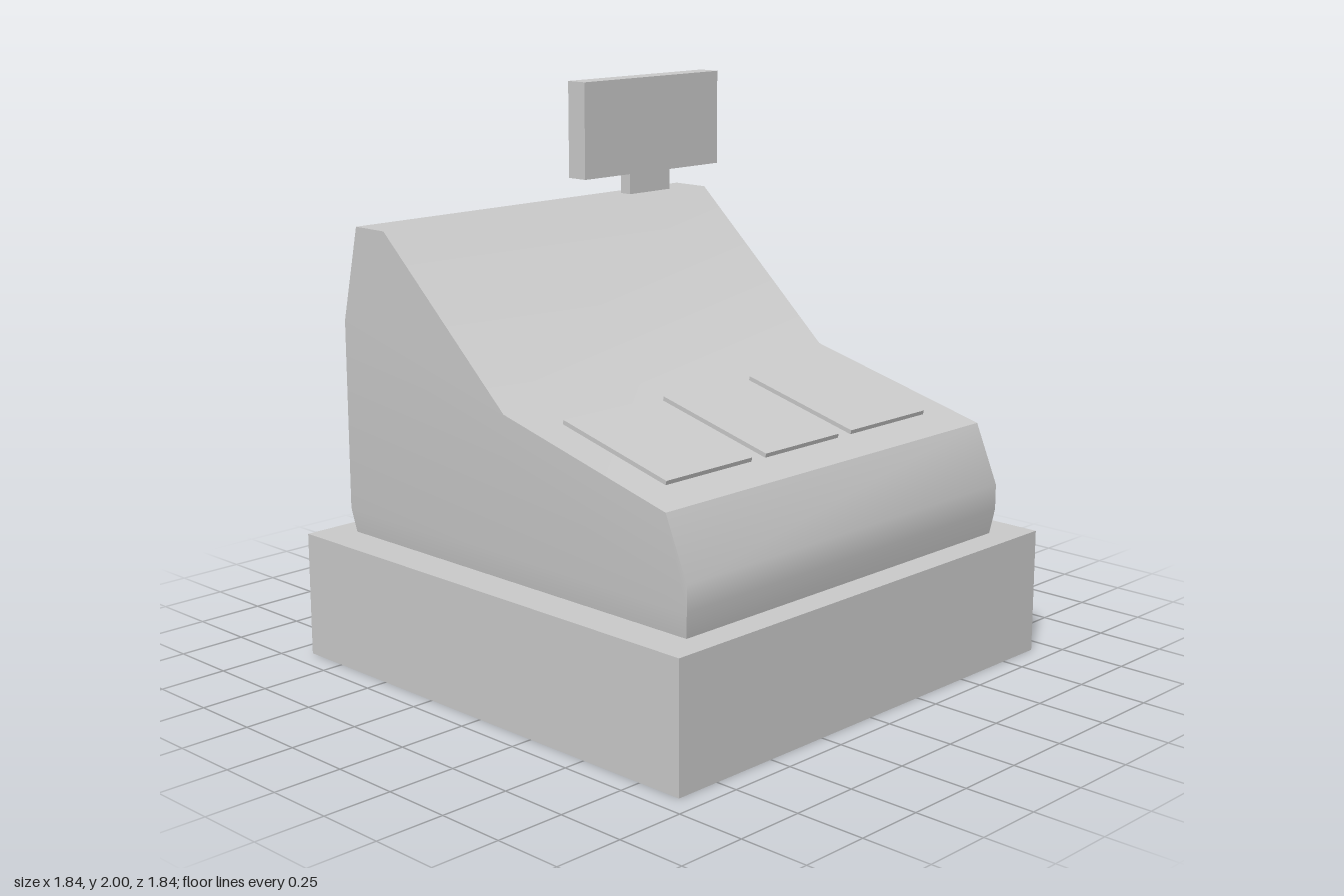
import * as THREE from 'three';
import { mergeGeometries, toCreasedNormals } from 'three/addons/utils/BufferGeometryUtils.js';

const HALF_WIDTH = 0.793;
const SKIRT_TOP = 0.54;
const BASE_TOP = 0.45;

export function createModel() {
  const model = new THREE.Group();
  model.name = 'cashRegister';
  const material = new THREE.MeshStandardMaterial({ color: 0xcccccc });

  const add = (name, geometry) => {
    const mesh = new THREE.Mesh(geometry, material);
    mesh.name = name;
    model.add(mesh);
    return mesh;
  };

  // Box given by its limits on each axis
  const addBox = (name, [x0, x1], [y0, y1], [z0, z1]) => {
    const mesh = add(name, new THREE.BoxGeometry(x1 - x0, y1 - y0, z1 - z0));
    mesh.position.set((x0 + x1) / 2, (y0 + y1) / 2, (z0 + z1) / 2);
    return mesh;
  };

  // Cash drawer base
  addBox('drawerBase', [-0.92, 0.92], [0, BASE_TOP], [-0.92, 0.92]);

  // Main housing: side profile as (z, y), extruded across x
  const profile = [
    [0.83, SKIRT_TOP], [0.83, 0.63], [0.74, 0.84], [0, 1.022],
    [-0.6, 1.56], [-0.75, 1.56], [-0.83, 1.22], [-0.83, SKIRT_TOP],
  ].map(([z, y]) => new THREE.Vector2(z, y));
  const upper = new THREE.ExtrudeGeometry(new THREE.Shape(profile), {
    depth: HALF_WIDTH * 2, bevelEnabled: false,
  });
  upper.translate(0, 0, -HALF_WIDTH);
  upper.rotateY(-Math.PI / 2);

  // Skirt under the housing, drawn in slightly towards the base
  const skirt = new THREE.BoxGeometry(HALF_WIDTH * 2, SKIRT_TOP - BASE_TOP, 1.66).toNonIndexed();
  skirt.translate(0, (SKIRT_TOP + BASE_TOP) / 2, 0);
  const p = skirt.attributes.position;
  for (let i = 0; i < p.count; i++) {
    if (p.getY(i) < BASE_TOP + 0.01) {
      p.setX(i, p.getX(i) * 0.984);
      p.setZ(i, p.getZ(i) * 0.984);
    }
  }
  add('housing', toCreasedNormals(mergeGeometries([upper, skirt]), Math.PI / 6));

  // Three key panels lying on the sloped deck
  const slope = Math.atan2(1.022 - 0.84, 0.74);
  for (const [x0, x1] of [[-0.655, -0.255], [-0.187, 0.183], [0.25, 0.653]]) {
    const panel = add('keyPanel', new THREE.BoxGeometry(x1 - x0, 0.03, 0.484));
    panel.position.set((x0 + x1) / 2, 0.931, 0.37);
    panel.rotation.x = slope;
  }

  // Customer display on a short stem
  addBox('displayStem', [0.432, 0.647], [1.56, 1.64], [-0.696, -0.646]);
  addBox('display', [0.18, 0.895], [1.64, 2], [-0.715, -0.628]);

  return model;
}
